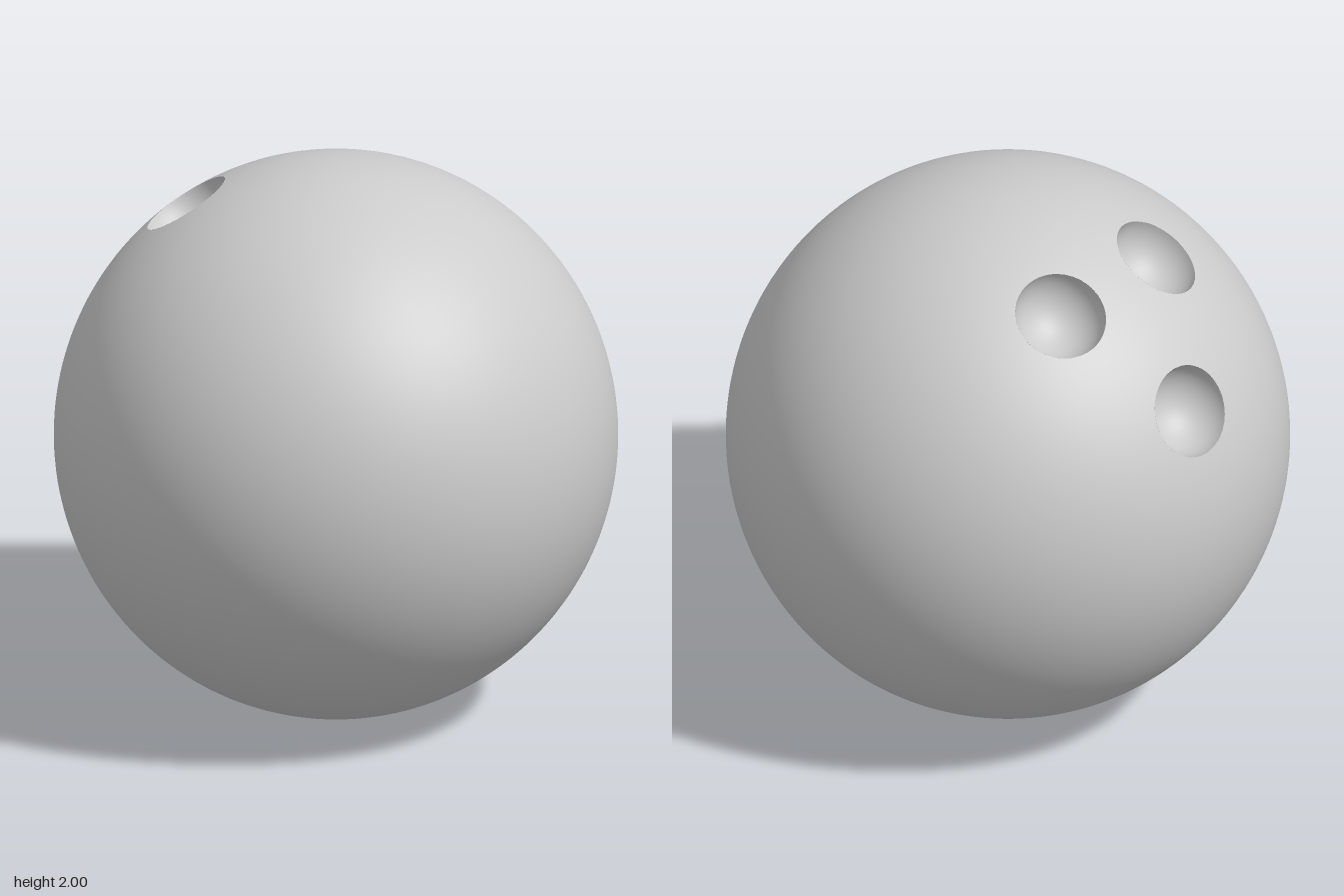
import * as THREE from 'three';
import { mergeVertices } from 'three/addons/utils/BufferGeometryUtils.js';

const RADII = new THREE.Vector3(0.987, 1, 0.987);
const HOLE_R = 0.162;
const CENTRE_Y = 1;

// Point on the ball surface along a direction, and the surface normal there
const onBall = (v) => v.clone().multiplyScalar(1 / v.clone().divide(RADII).length());
const ballNormal = (v) => v.clone().divide(RADII).divide(RADII).normalize();

// A hole is a half sphere sunk into the ball, its rim lying on the surface
function makeHole(name, x, y, z) {
  const surface = onBall(new THREE.Vector3(x, y, z));
  const normal = ballNormal(surface);
  const centre = surface.addScaledVector(normal, -HOLE_R * HOLE_R / 2);
  return { name, normal, centre };
}

// Put a cut point exactly on the rim
function snapToRim(p, hole) {
  for (let i = 0; i < 4; i++) {
    p.sub(hole.centre).setLength(HOLE_R).add(hole.centre);
    p.copy(onBall(p));
  }
  return p;
}

// Keep the part of a polygon outside a hole
function clip(poly, hole) {
  const dist = poly.map((p) => p.distanceTo(hole.centre) - HOLE_R);
  if (dist.every((d) => d >= 0)) return poly;
  const out = [];
  poly.forEach((p, i) => {
    const j = (i + 1) % poly.length;
    if (dist[i] >= 0) out.push(p);
    if ((dist[i] >= 0) !== (dist[j] >= 0)) {
      const cut = p.clone().lerp(poly[j], dist[i] / (dist[i] - dist[j]));
      out.push(snapToRim(cut, hole));
    }
  });
  return out;
}

// Smooth ball surface with the hole openings cut out
function ballGeometry(holes) {
  const base = new THREE.SphereGeometry(1, 128, 80).toNonIndexed();
  base.scale(RADII.x, RADII.y, RADII.z);
  const src = base.attributes.position;
  const positions = [];
  const normals = [];
  for (let i = 0; i < src.count; i += 3) {
    let poly = [0, 1, 2].map((k) => new THREE.Vector3().fromBufferAttribute(src, i + k));
    for (const hole of holes) poly = clip(poly, hole);
    for (let k = 1; k < poly.length - 1; k++) {
      for (const p of [poly[0], poly[k], poly[k + 1]]) {
        positions.push(p.x, p.y, p.z);
        normals.push(...ballNormal(p).toArray());
      }
    }
  }
  const geometry = new THREE.BufferGeometry();
  geometry.setAttribute('position', new THREE.Float32BufferAttribute(positions, 3));
  geometry.setAttribute('normal', new THREE.Float32BufferAttribute(normals, 3));
  return mergeVertices(geometry);
}

// Inward-facing bowl, profile running from rim to bottom
function bowlGeometry() {
  const profile = [];
  for (let i = 0; i <= 20; i++) {
    const a = (i / 20) * Math.PI / 2;
    profile.push(new THREE.Vector2(HOLE_R * Math.cos(a), -HOLE_R * Math.sin(a)));
  }
  return new THREE.LatheGeometry(profile, 64);
}

export function createModel() {
  const model = new THREE.Group();
  model.name = 'ball';
  const material = new THREE.MeshStandardMaterial({ color: 0xcccccc });
  const bowlMaterial = new THREE.MeshStandardMaterial({ color: 0xcccccc, side: THREE.DoubleSide });

  const holes = [
    makeHole('thumbHole', -0.857, 0.475, 0),
    makeHole('frontFingerHole', -0.472, 0.826, 0.25),
    makeHole('backFingerHole', -0.472, 0.826, -0.25),
  ];

  const shell = new THREE.Mesh(ballGeometry(holes), material);
  shell.name = 'ballSurface';
  shell.position.y = CENTRE_Y;
  model.add(shell);

  const bowl = bowlGeometry();
  const up = new THREE.Vector3(0, 1, 0);
  for (const hole of holes) {
    const mesh = new THREE.Mesh(bowl, bowlMaterial);
    mesh.name = hole.name;
    mesh.position.copy(hole.centre);
    mesh.position.y += CENTRE_Y;
    mesh.quaternion.setFromUnitVectors(up, hole.normal);
    model.add(mesh);
  }
  return model;
}
